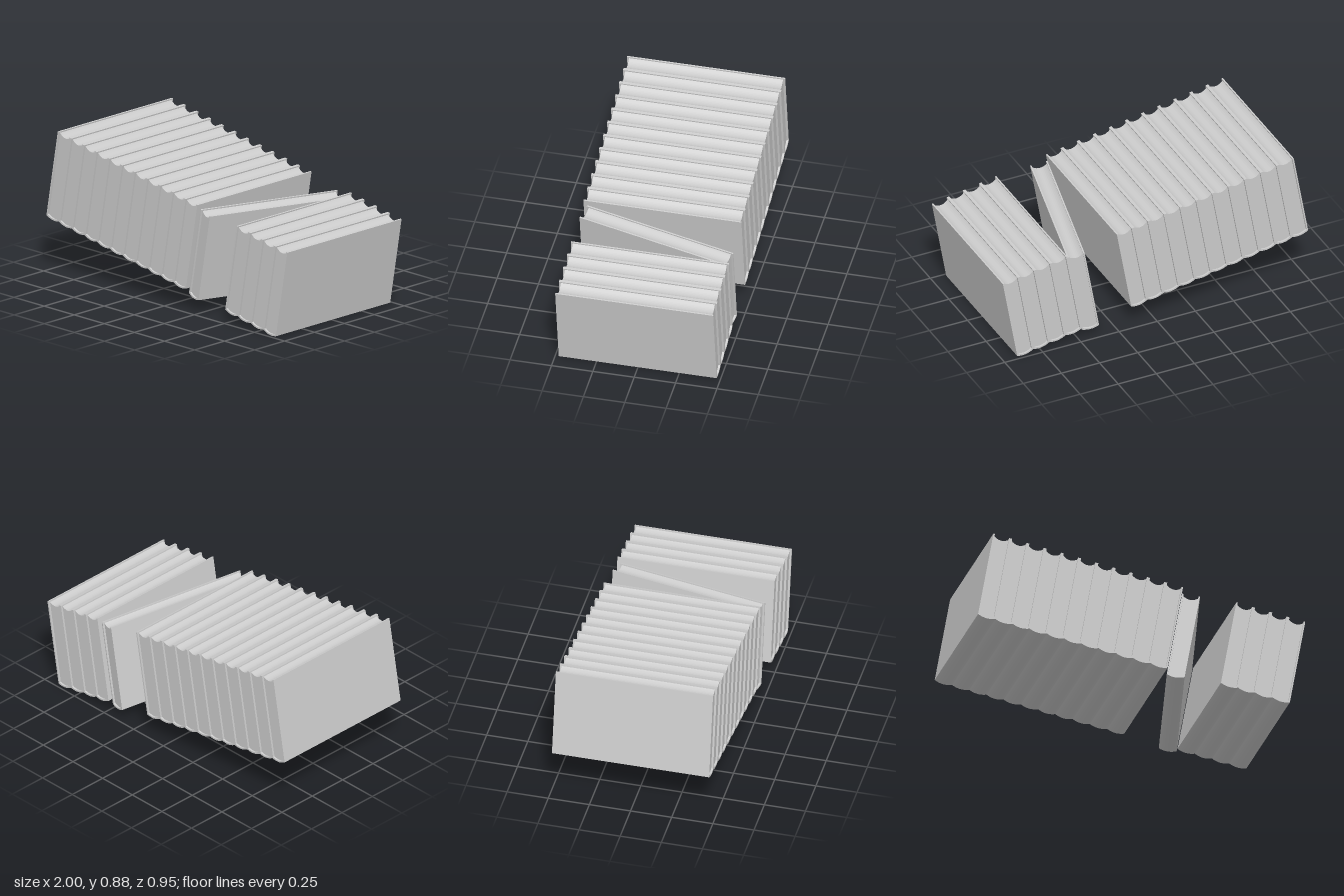
import * as THREE from 'three';

const W = 0.107, H = 0.543, L = 0.955;   // book thickness, height, length
const T = 0.009, BULGE = 0.012;          // board thickness, spine rounding
const TILT = THREE.MathUtils.degToRad(10);

const material = new THREE.MeshStandardMaterial({ color: 0xcccccc });

function extrude(shape, depth) {
  const geometry = new THREE.ExtrudeGeometry(shape, { depth, bevelEnabled: false, curveSegments: 10 });
  return geometry.translate(-W / 2, 0, -depth / 2);
}

// U-shaped binding: two boards joined by a rounded spine at the bottom
function coverGeometry() {
  const s = new THREE.Shape();
  s.moveTo(0, H);
  s.lineTo(0, 0);
  s.quadraticCurveTo(W / 2, -2 * BULGE, W, 0);
  s.lineTo(W, H);
  s.lineTo(W - T, H);
  s.lineTo(W - T, T);
  s.quadraticCurveTo(W / 2, T - 2 * BULGE, T, T);
  s.lineTo(T, H);
  s.closePath();
  return extrude(s, L);
}

// Page block: follows the spine below, hollow fore-edge on top, set back at both ends
function pagesGeometry() {
  const top = H - 0.008, dip = 0.018;
  const s = new THREE.Shape();
  s.moveTo(T, top);
  s.lineTo(T, T);
  s.quadraticCurveTo(W / 2, T - 2 * BULGE, W - T, T);
  s.lineTo(W - T, top);
  s.quadraticCurveTo(W / 2, top - 2 * dip, T, top);
  return extrude(s, L - 0.024);
}

export function createModel() {
  const model = new THREE.Group();
  model.name = 'bookRow';
  const coverGeo = coverGeometry(), pagesGeo = pagesGeometry();

  // The whole row leans about its lower left edge
  const row = new THREE.Group();
  row.name = 'tiltedRow';
  row.position.set(-1, 0.341, 0);
  row.rotation.z = -TILT;
  model.add(row);

  function addBook(name, u, v = 0, turn = 0) {
    const book = new THREE.Group();
    book.name = name;
    const cover = new THREE.Mesh(coverGeo, material);
    cover.name = 'cover';
    const pages = new THREE.Mesh(pagesGeo, material);
    pages.name = 'pages';
    book.add(cover, pages);
    book.position.set(u, v, 0);
    book.rotation.y = turn;
    row.add(book);
  }

  // Long run, the turned book sitting a little lower, short run
  for (let i = 0; i < 11; i++) addBook(`rightRunBook${i + 1}`, (i + 0.5) * W);
  addBook('turnedBook', 1.342, -0.03, THREE.MathUtils.degToRad(-12.9));
  for (let i = 0; i < 4; i++) addBook(`leftRunBook${i + 1}`, 1.508 + (i + 0.5) * W);

  return model;
}
